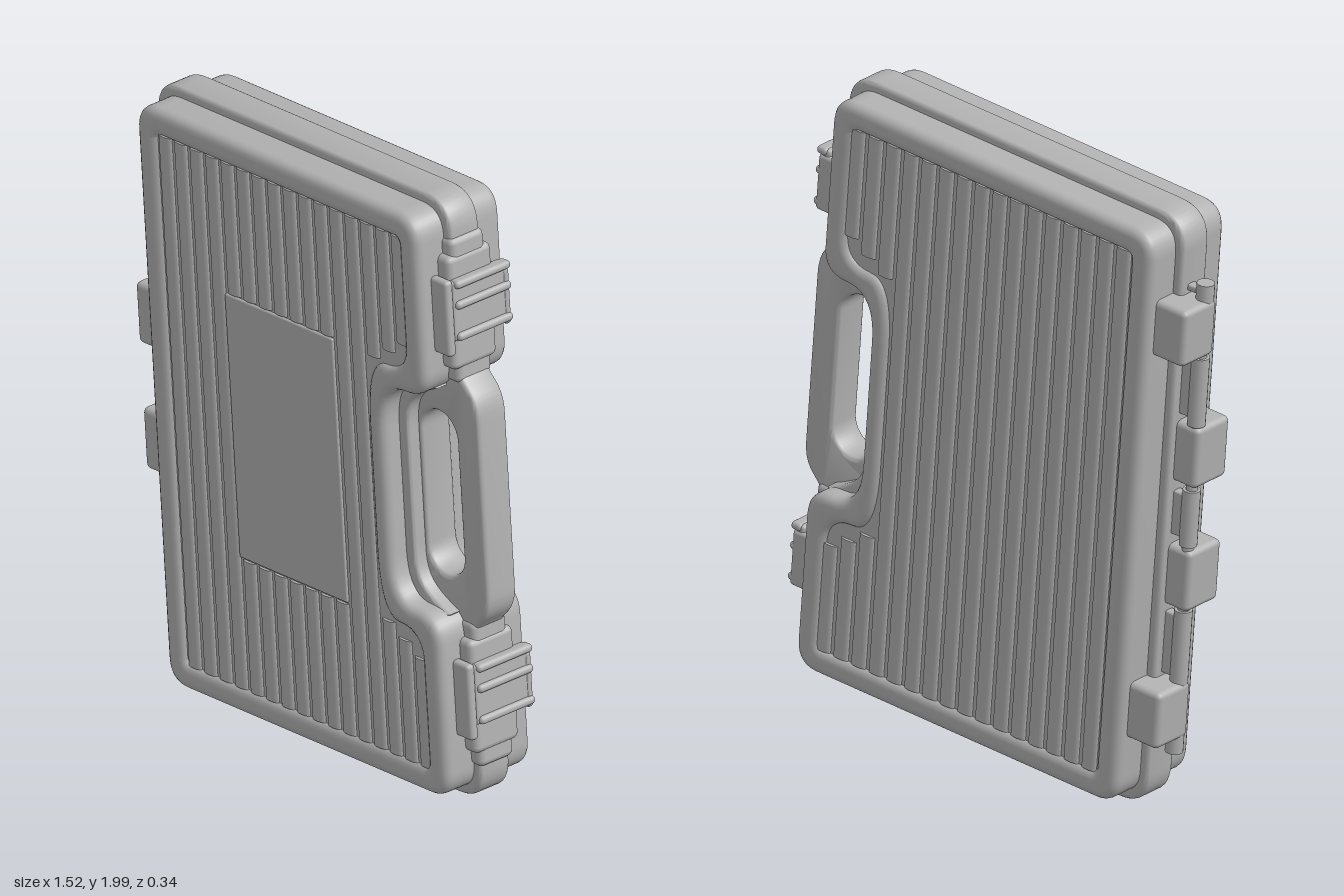
import * as THREE from 'three';
import { toCreasedNormals } from 'three/addons/utils/BufferGeometryUtils.js';
import { RoundedBoxGeometry } from 'three/addons/geometries/RoundedBoxGeometry.js';

const grey = new THREE.MeshStandardMaterial({ color: 0xb2b2b2 });
grey.name = 'grey plastic';

function add(parent, name, geometry, x = 0, y = 0, z = 0) {
  const mesh = new THREE.Mesh(geometry, grey);
  mesh.name = name;
  mesh.position.set(x, y, z);
  parent.add(mesh);
  return mesh;
}

// Rounded box given by its x, y and z ranges
function block(parent, name, [x0, x1], [y0, y1], [z0, z1], r = 0.012) {
  const geo = new RoundedBoxGeometry(x1 - x0, y1 - y0, z1 - z0, 2, r);
  return add(parent, name, geo, (x0 + x1) / 2, (y0 + y1) / 2, (z0 + z1) / 2);
}

// Extrude a shape symmetrically about z = 0, keeping its outline as the outer edge
function slab(shape, half, bevel) {
  const geo = new THREE.ExtrudeGeometry(shape, {
    depth: 2 * (half - bevel), curveSegments: 10, bevelEnabled: bevel > 0,
    bevelThickness: bevel, bevelSize: bevel, bevelOffset: -bevel, bevelSegments: 4,
  });
  geo.translate(0, 0, -(half - bevel));
  return toCreasedNormals(geo, 0.6);
}

// Rounded rectangle whose right side is drawn by a callback
function outline(inset, rightSide, Type = THREE.Shape) {
  const x0 = -0.615 + inset, x1 = 0.665 - inset, y = 0.955 - inset;
  const r = Math.max(0.11 - inset * 0.8, 0.02);
  const s = new Type();
  s.moveTo(x0 + r, -y);
  s.lineTo(x1 - r, -y);
  s.quadraticCurveTo(x1, -y, x1, -y + r);
  rightSide(s, x1);
  s.lineTo(x1, y - r);
  s.quadraticCurveTo(x1, y, x1 - r, y);
  s.lineTo(x0 + r, y);
  s.quadraticCurveTo(x0, y, x0, y - r);
  s.lineTo(x0, -y + r);
  s.quadraticCurveTo(x0, -y, x0 + r, -y);
  return s;
}

// Case outline with the hand notch, grown by n around the notch
function notched(inset, n, Type) {
  return outline(inset, (s, x1) => {
    const b = 0.44 - n, mid = (x1 + b) / 2, v = 0.345 + n;
    s.lineTo(x1, -v - 0.09);
    s.quadraticCurveTo(x1, -v, mid, -v);
    s.quadraticCurveTo(b, -v, b, -0.2);
    s.lineTo(b, 0.2);
    s.quadraticCurveTo(b, v, mid, v);
    s.quadraticCurveTo(x1, v, x1, v + 0.09);
  }, Type);
}

// Finger hole
function gripHole() {
  const h = new THREE.Path(), cx = 0.562, r = 0.075, y = 0.185;
  h.absarc(cx, y, r, 0, Math.PI, false);
  h.absarc(cx, -y, r, Math.PI, 2 * Math.PI, false);
  h.closePath();
  return h;
}

export function createModel() {
  const model = new THREE.Group();
  const box = new THREE.Group();
  box.name = 'carryingCase';
  box.position.set(0, 1, -0.003);
  box.rotation.set(-0.005, 0, 0.084);
  model.add(box);

  // Middle flange that runs on into the carrying handle
  const flange = outline(0, (s) => {
    s.lineTo(0.665, -0.42);
    s.bezierCurveTo(0.68, -0.37, 0.74, -0.37, 0.738, -0.27);
    s.lineTo(0.738, 0.27);
    s.bezierCurveTo(0.74, 0.37, 0.68, 0.37, 0.665, 0.42);
  });
  flange.holes.push(gripHole());
  add(box, 'flangeAndHandle', slab(flange, 0.057, 0.016));

  // Shell with raised rims on both faces
  const rim = notched(0.03, 0);
  rim.holes.push(notched(0.115, 0.07, THREE.Path));
  add(box, 'shellRim', slab(rim, 0.166, 0.03));
  add(box, 'shellPanels', slab(notched(0.1, 0.055), 0.15, 0));

  // Collar lining the notch around the finger hole
  const collar = new THREE.Shape();
  collar.moveTo(0.61, -0.36);
  collar.bezierCurveTo(0.5, -0.31, 0.475, -0.29, 0.475, -0.18);
  collar.lineTo(0.475, 0.18);
  collar.bezierCurveTo(0.475, 0.29, 0.5, 0.31, 0.61, 0.36);
  collar.lineTo(0.56, 0.42);
  collar.lineTo(0.4, 0.3);
  collar.lineTo(0.4, -0.3);
  collar.lineTo(0.56, -0.42);
  collar.closePath();
  add(box, 'notchCollar', slab(collar, 0.1, 0.012));

  // Rounded ribs on both faces, broken by the label area and the notch
  const ribs = new THREE.Group();
  ribs.name = 'ribs';
  box.add(ribs);
  const end = 0.845;
  for (let i = 0; i < 16; i++) {
    const x = -0.47 + i * 0.0673;
    const notch = x > 0.5 ? 0.5 : x > 0.45 ? 0.46 : x > 0.36 ? 0.42 : 0;
    for (const side of [1, -1]) {
      const gap = side > 0 && Math.abs(x + 0.005) < 0.25 ? 0.425 : notch;
      const spans = gap ? [[-end, -gap], [gap, end]] : [[-end, end]];
      for (const [a, b] of spans) {
        const geo = new THREE.CylinderGeometry(0.028, 0.028, b - a, 12);
        geo.scale(1, 1, 0.36);
        add(ribs, 'rib', geo, x, (a + b) / 2, side * 0.15);
      }
    }
  }
  block(box, 'labelPlate', [-0.24, 0.23], [-0.42, 0.42], [0.14, 0.158], 0.006);

  // Two latches on the handle side
  for (const s of [1, -1]) {
    const latch = new THREE.Group();
    latch.name = s > 0 ? 'upperLatch' : 'lowerLatch';
    latch.position.y = s * 0.61;
    box.add(latch);
    block(latch, 'latchMount', [0.56, 0.682], [-0.18, 0.18], [-0.085, 0.085], 0.02);
    block(latch, 'latchMountEnds', [0.56, 0.677], [-0.23, 0.23], [-0.065, 0.065], 0.02);
    block(latch, 'latchPlate', [0.66, 0.697], [-0.08, 0.11], [-0.125, 0.09]);
    for (const y of [-0.065, 0.035, 0.1])
      block(latch, 'latchBar', [0.67, 0.71], [y - 0.013, y + 0.013], [-0.13, 0.08]);
    block(latch, 'latchFlap', [0.625, 0.7], [-0.12, 0.12], [0.085, 0.115]);
    block(latch, 'latchHook', [0.62, 0.7], [-0.09, 0.09], [-0.13, -0.105]);
  }

  // Hinge on the opposite side: pin, knuckles and leaves
  add(box, 'hingePin', new THREE.CylinderGeometry(0.018, 0.018, 1.5, 12), -0.668, 0, -0.012);
  for (const [a, b] of [[0.3, 0.52], [0.7, 0.76], [-0.09, 0.09], [-0.54, -0.3], [-0.76, -0.7]]) {
    add(box, 'hingeKnuckle', new THREE.CylinderGeometry(0.027, 0.027, b - a, 16), -0.668, (a + b) / 2, -0.012);
    block(box, 'hingeWeb', [-0.665, -0.59], [a + 0.02, b - 0.02], [-0.028, 0.004], 0.006);
  }
  for (const y of [0.2, -0.2])
    block(box, 'frontHingeLeaf', [-0.697, -0.56], [y - 0.098, y + 0.098], [-0.035, 0.108], 0.018);
  for (const y of [0.62, -0.62])
    block(box, 'backHingeLeaf', [-0.697, -0.56], [y - 0.09, y + 0.09], [-0.13, 0.012], 0.018);

  return model;
}
